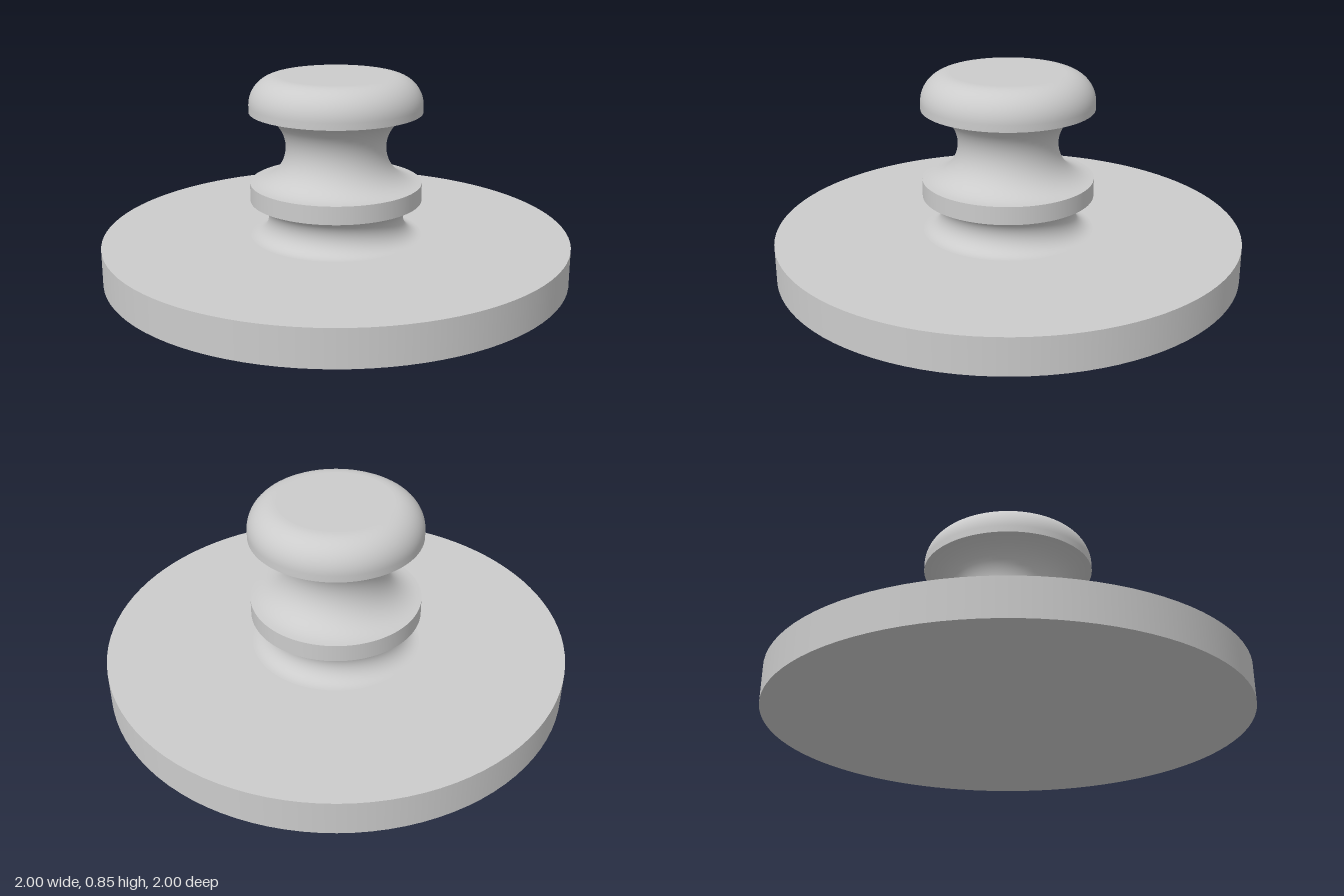
import * as THREE from 'three';

const SIDES = 96;
const BASE_TOP = 0.155;
const R = 0.368; // radius shared by the band, the head and the groove rims

export function createModel() {
  const model = new THREE.Group();
  const material = new THREE.MeshStandardMaterial({ color: 0xcccccc });

  const add = (name, geometry) => {
    const mesh = new THREE.Mesh(geometry, material);
    mesh.name = name;
    model.add(mesh);
    return mesh;
  };

  // Points of an arc around (cx, cy), from angle a to angle b
  const arc = (cx, cy, r, a, b, steps) =>
    Array.from({ length: steps + 1 }, (_, i) => {
      const t = a + ((b - a) * i) / steps;
      return new THREE.Vector2(cx + r * Math.cos(t), cy + r * Math.sin(t));
    });

  // Half-round groove cut into the stem between two heights
  const addGroove = (name, y0, y1) => {
    const profile = arc(R, (y0 + y1) / 2, (y1 - y0) / 2, 1.5 * Math.PI, 0.5 * Math.PI, 24);
    add(name, new THREE.LatheGeometry(profile, SIDES));
  };

  // Wide round base plate
  add('basePlate', new THREE.CylinderGeometry(1, 1, BASE_TOP, SIDES)).position.y = BASE_TOP / 2;

  // Stem: small groove, flat band, large groove
  addGroove('lowerGroove', BASE_TOP, 0.31);
  add('band', new THREE.CylinderGeometry(R, R, 0.077, SIDES, 1, true)).position.y = 0.3485;
  addGroove('upperGroove', 0.387, 0.695);

  // Head: short straight wall, rounded shoulder and flat top
  const top = 0.847;
  const round = 0.123;
  add('head', new THREE.LatheGeometry([
    new THREE.Vector2(R, 0.695),
    ...arc(R - round, top - round, round, 0, Math.PI / 2, 16),
  ], SIDES));
  const cap = add('headTop', new THREE.CircleGeometry(R - round, SIDES));
  cap.rotation.set(-Math.PI / 2, 0, -Math.PI / 2);
  cap.position.y = top;

  return model;
}
